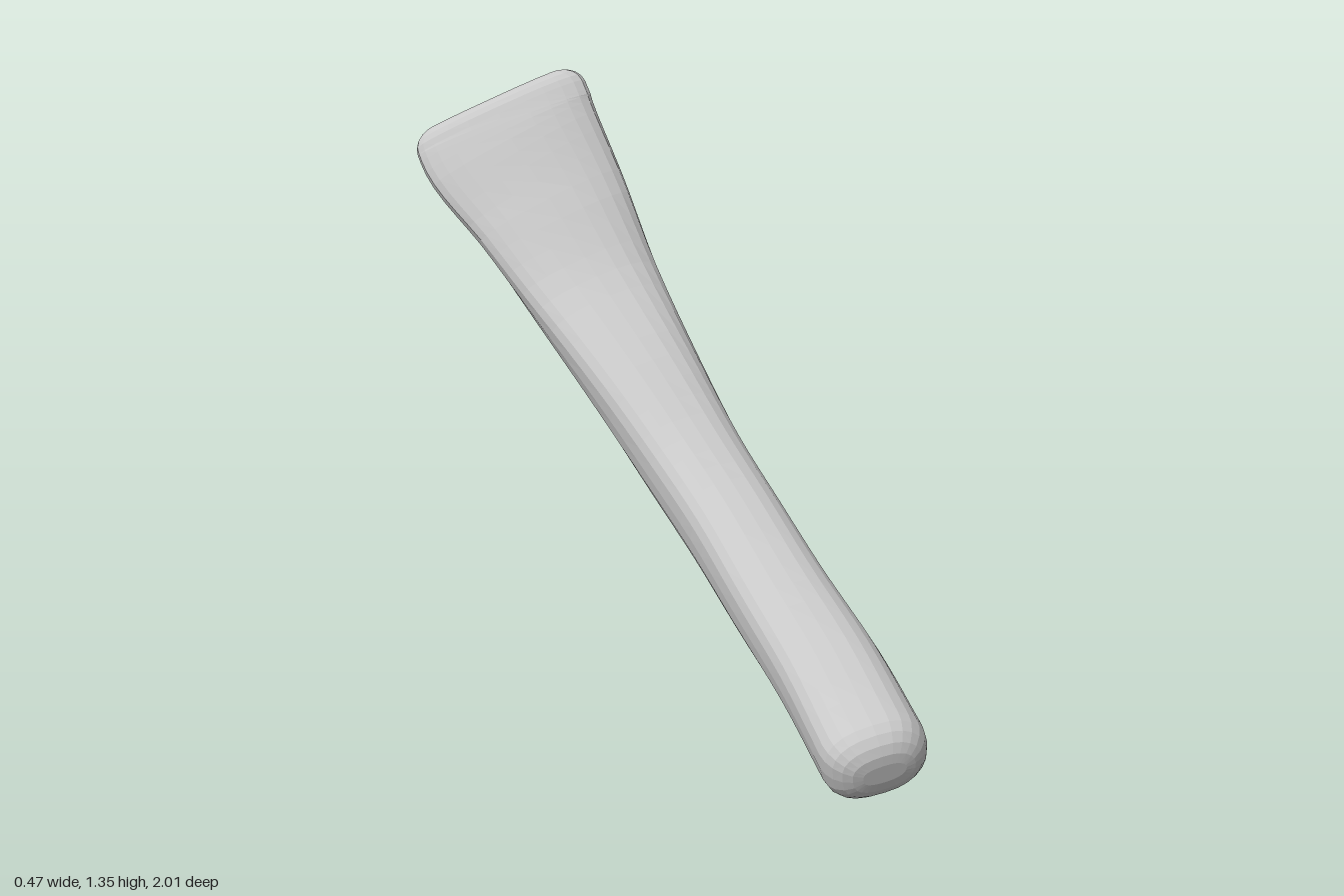
import * as THREE from 'three';

const SIDES = 24, RINGS = 36, CAP = 5;

// Stations from the narrow front end to the broad head:
// centre x, y, z, half width, half thickness, roll (radians)
const STATIONS = [
  [-0.122, 0.103, 0.927, 0.119, 0.098, 0.30],
  [-0.053, 0.175, 0.68, 0.121, 0.099, 0.24],
  [0.004, 0.255, 0.405, 0.121, 0.102, 0.19],
  [0.047, 0.347, 0.16, 0.123, 0.106, 0.17],
  [0.068, 0.452, -0.06, 0.13, 0.108, 0.19],
  [0.073, 0.602, -0.285, 0.148, 0.106, 0.26],
  [0.064, 0.795, -0.53, 0.177, 0.092, 0.38],
  [0.026, 1.0, -0.702, 0.212, 0.073, 0.50],
  [-0.018, 1.155, -0.823, 0.242, 0.06, 0.57],
  [-0.028, 1.22, -0.868, 0.246, 0.051, 0.59],
];

// One cross-section: a rounded oblong, fuller on the left side
function addRing(positions, centre, tangent, a, b, roll) {
  const x = new THREE.Vector3(1, 0, 0).addScaledVector(tangent, -tangent.x).normalize();
  const up = new THREE.Vector3().crossVectors(x, tangent);
  const wide = x.clone().multiplyScalar(Math.cos(roll)).addScaledVector(up, Math.sin(roll));
  const thick = up.clone().multiplyScalar(Math.cos(roll)).addScaledVector(x, -Math.sin(roll));
  for (let j = 0; j < SIDES; j++) {
    const angle = (j / SIDES) * Math.PI * 2;
    const c = Math.cos(angle), s = Math.sin(angle);
    const power = 2 / (2.45 - 0.25 * c);
    const p = centre.clone()
      .addScaledVector(wide, a * Math.sign(c) * Math.abs(c) ** power)
      .addScaledVector(thick, b * Math.sign(s) * Math.abs(s) ** power);
    positions.push(p.x, p.y, p.z);
  }
}

function shaftGeometry() {
  const path = new THREE.CatmullRomCurve3(
    STATIONS.map(s => new THREE.Vector3(s[0], s[1], s[2])), false, 'catmullrom');
  const sizes = new THREE.CatmullRomCurve3(
    STATIONS.map(s => new THREE.Vector3(s[3], s[4], s[5])), false, 'catmullrom');
  const positions = [], index = [];

  // Ring at t; a cap ring is pushed past the end and drawn in to round it
  const ring = (t, length = 0, insetA = 0, insetB = 0, angle = 0) => {
    const tangent = path.getTangent(t), size = sizes.getPoint(t);
    const centre = path.getPoint(t).addScaledVector(tangent, length * Math.sin(angle));
    const inset = 1 - Math.cos(angle);
    addRing(positions, centre, tangent, size.x - insetA * inset, size.y - insetB * inset, size.z);
  };

  // Rounded front end, shaft, rounded head
  for (let k = CAP; k > 0; k--) ring(0, -0.075, 0.07, 0.075, (k / CAP) * Math.PI / 2);
  for (let i = 0; i <= RINGS; i++) ring(i / RINGS);
  for (let k = 1; k <= CAP; k++) ring(1, 0.06, 0.075, 0.046, (k / CAP) * Math.PI / 2);

  const rings = RINGS + 1 + CAP * 2;
  for (let i = 0; i < rings - 1; i++) {
    for (let j = 0; j < SIDES; j++) {
      const n = (j + 1) % SIDES;
      const a = i * SIDES + j, b = a + SIDES, c = (i + 1) * SIDES + n, d = i * SIDES + n;
      index.push(a, b, c, a, c, d);
    }
  }
  // Close both ends
  const last = (rings - 1) * SIDES;
  for (let j = 1; j < SIDES - 1; j++) {
    index.push(0, j, j + 1, last, last + j + 1, last + j);
  }

  const geometry = new THREE.BufferGeometry();
  geometry.setAttribute('position', new THREE.Float32BufferAttribute(positions, 3));
  geometry.setIndex(index);
  geometry.computeVertexNormals();
  return geometry;
}

export function createModel() {
  const material = new THREE.MeshStandardMaterial({ color: 0xc8c8c8, flatShading: true });
  material.name = 'light grey';
  const shaft = new THREE.Mesh(shaftGeometry(), material);
  shaft.name = 'curvedShaft';
  const model = new THREE.Group();
  model.name = 'curvedBone';
  model.add(shaft);
  return model;
}
